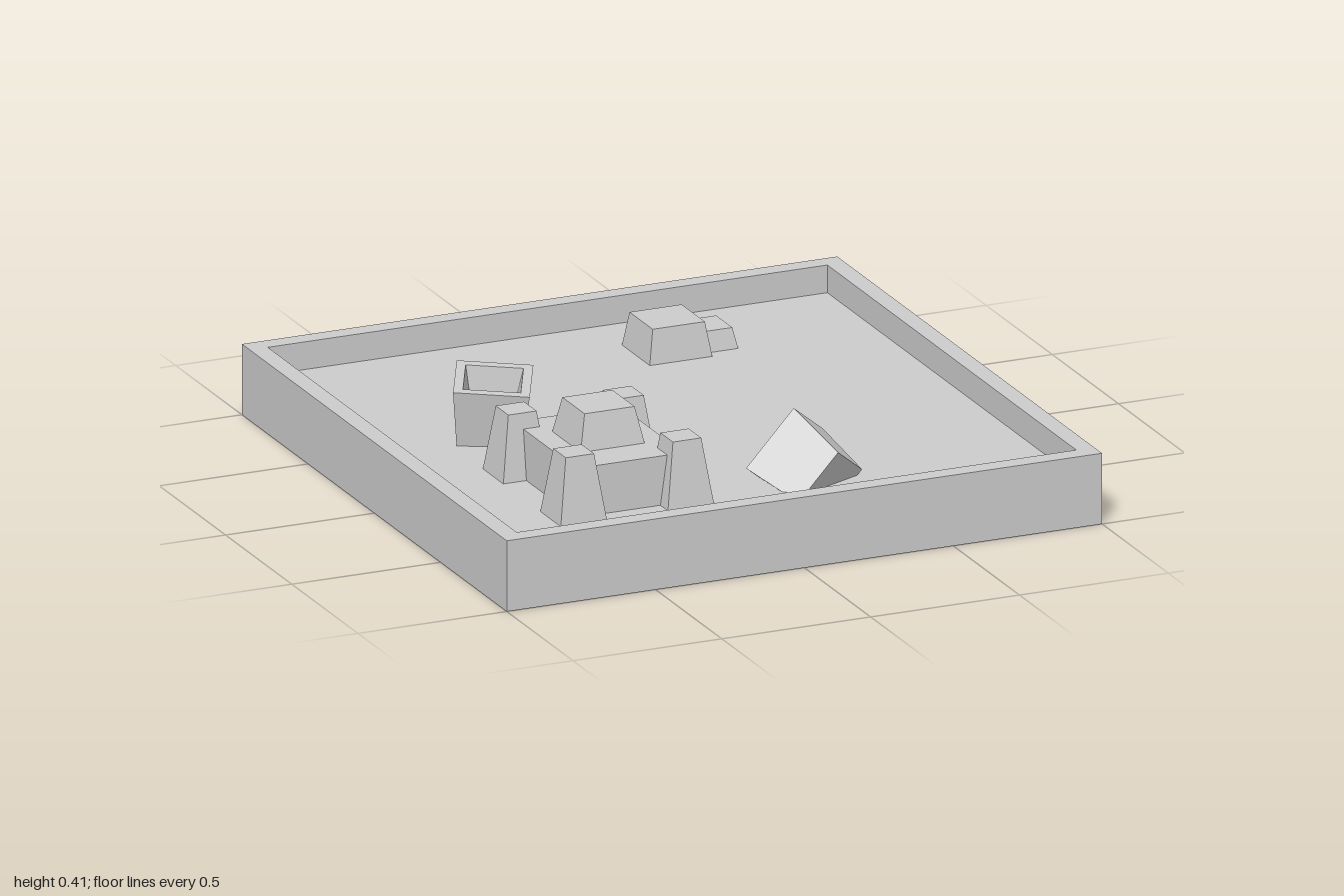
import * as THREE from 'three';

const grey = new THREE.MeshStandardMaterial({ color: 0xcccccc, flatShading: true });
const greyOpen = new THREE.MeshStandardMaterial({ color: 0xcccccc, flatShading: true, side: THREE.DoubleSide });

// Four-sided turned shape; profile is a list of [half width, height]
function squareTurned(name, profile, material = grey) {
  const points = profile.map(([half, y]) => new THREE.Vector2(half * Math.SQRT2, y));
  const geometry = new THREE.LatheGeometry(points, 4).rotateY(Math.PI / 4);
  const mesh = new THREE.Mesh(geometry, material);
  mesh.name = name;
  return mesh;
}

// Closed square block tapering from its base to its top
function taperedBlock(name, baseWidth, topWidth, bottom, top) {
  return squareTurned(name, [[0, bottom], [baseWidth / 2, bottom], [topWidth / 2, top], [0, top]]);
}

// Hollow square bucket, origin at the centre of its rim, opening towards +y
function bucket(name) {
  return squareTurned(name, [
    [0, -0.205], [0.098, -0.205], [0.118, 0], [0.089, 0], [0.062, -0.14], [0, -0.14],
  ]);
}

export function createModel() {
  const model = new THREE.Group();
  model.name = 'sandbox';
  const sandY = 0.14;

  // Open-bottomed wooden frame and the sand inside it
  model.add(squareTurned('frame', [[1, 0], [1, 0.23], [0.94, 0.23], [0.94, sandY]], greyOpen));
  const sand = new THREE.Mesh(new THREE.PlaneGeometry(1.88, 1.88).rotateX(-Math.PI / 2), greyOpen);
  sand.name = 'sand';
  sand.position.y = sandY;
  model.add(sand);

  // Sand castle: hall, keep and four corner towers
  const castle = new THREE.Group();
  castle.name = 'sandCastle';
  castle.position.set(-0.433, 0, 0.418);
  const hall = new THREE.Mesh(new THREE.BoxGeometry(0.36, 0.16, 0.475), grey);
  hall.name = 'castleHall';
  hall.position.y = sandY + 0.08;
  castle.add(hall, taperedBlock('castleKeep', 0.215, 0.168, 0.3, 0.415));
  for (const sx of [-1, 1]) {
    for (const sz of [-1, 1]) {
      const tower = taperedBlock('castleTower', 0.155, 0.095, sandY, 0.35);
      tower.position.set(sx * 0.18, 0, sz * 0.217);
      castle.add(tower);
    }
  }
  model.add(castle);

  // Two moulded sand blocks side by side
  const largeBlock = taperedBlock('largeSandBlock', 0.215, 0.175, 0.125, 0.25);
  largeBlock.position.set(0.272, 0, -0.648);
  const smallBlock = taperedBlock('smallSandBlock', 0.16, 0.122, 0.125, 0.205);
  smallBlock.position.set(0.415, 0, -0.655);
  smallBlock.scale.x = 0.85;
  model.add(largeBlock, smallBlock);

  // Bucket standing with a slight forward lean
  const standing = bucket('standingBucket');
  standing.position.set(-0.545, 0.332, -0.125);
  standing.rotation.set(0.11, -0.464, 0);
  model.add(standing);

  // Bucket lying half buried, one corner up
  const fallen = bucket('fallenBucket');
  const sideX = new THREE.Vector3(-0.66, -0.749, -0.043).normalize();
  const opening = new THREE.Vector3(0.66, -0.523, -0.532).cross(sideX).normalize();
  const sideZ = sideX.clone().cross(opening);
  fallen.quaternion.setFromRotationMatrix(new THREE.Matrix4().makeBasis(sideX, opening, sideZ));
  fallen.position.set(0.145, 0.215, 0.522);
  model.add(fallen);

  return model;
}
